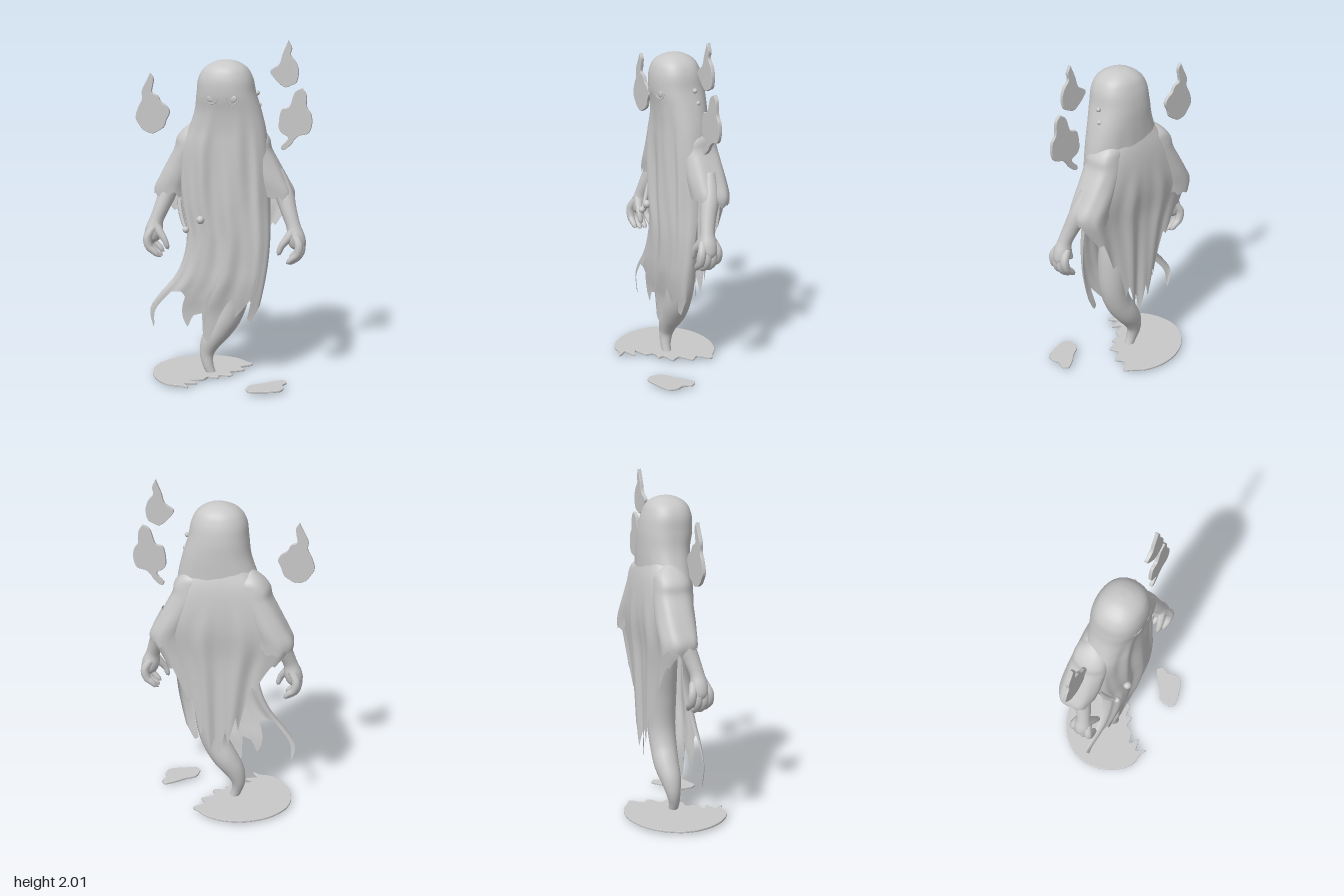
import * as THREE from 'three';
import { mergeGeometries, mergeVertices } from 'three/addons/utils/BufferGeometryUtils.js';

const cloth = new THREE.MeshStandardMaterial({ color: 0xc8c8c8, side: THREE.DoubleSide });
cloth.name = 'pale grey';

// Lookup in rows [key, values...] with ascending keys
function table(rows, Kind = THREE.CubicInterpolant) {
  const n = rows[0].length - 1;
  const f = new Kind(rows.map(r => r[0]), rows.flatMap(r => r.slice(1)), n);
  return k => [...f.evaluate(k)];
}

// Surface from fn(u, v) -> [x, y, z]
function grid(nu, nv, fn) {
  const pos = [], idx = [];
  for (let j = 0; j <= nv; j++)
    for (let i = 0; i <= nu; i++) pos.push(...fn(i / nu, j / nv));
  for (let j = 0; j < nv; j++)
    for (let i = 0; i < nu; i++) {
      const a = j * (nu + 1) + i, b = a + nu + 1;
      idx.push(a, a + 1, b, b, a + 1, b + 1);
    }
  const g = new THREE.BufferGeometry();
  g.setAttribute('position', new THREE.Float32BufferAttribute(pos, 3));
  g.setIndex(idx);
  return g;
}

function smooth(...parts) {
  const g = mergeVertices(mergeGeometries(parts), 1e-4);
  g.computeVertexNormals();
  return g;
}

// Tapered tube through points [x, y, z, radius]
function limb(pts, sides = 14, n = 28) {
  const path = new THREE.CatmullRomCurve3(pts.map(p => new THREE.Vector3(p[0], p[1], p[2])));
  const radius = table(pts.map((p, i) => [i / (pts.length - 1), p[3]]));
  const g = new THREE.TubeGeometry(path, n, 1, sides);
  const p = g.attributes.position, v = new THREE.Vector3();
  for (let i = 0; i < p.count; i++) {
    const t = Math.floor(i / (sides + 1)) / n, c = path.getPointAt(t);
    const k = path.getUtoTmapping(t);
    v.fromBufferAttribute(p, i).sub(c).multiplyScalar(Math.max(0.001, radius(k)[0])).add(c);
    p.setXYZ(i, v.x, v.y, v.z);
  }
  g.deleteAttribute('uv');
  g.deleteAttribute('normal');
  return smooth(g);
}

// Thin plate with softened rim from a wavy outline
function plate(pts, depth) {
  const v = pts.map(p => new THREE.Vector2(p[0], p[1]));
  const shape = new THREE.Shape().moveTo(v[0].x, v[0].y).splineThru([...v.slice(1), v[0]]);
  const b = 0.003;
  return new THREE.ExtrudeGeometry(shape, { depth: depth - 2 * b, bevelThickness: b, bevelSize: b, bevelOffset: -b,
    bevelSegments: 2, curveSegments: 4 * pts.length }).translate(0, 0, b);
}

// Cloak cross-sections: y, right edge, left edge, front, back
const section = table([
  [0.2, -0.40, 0.16, 0.045, 0.01], [0.28, -0.415, 0.18, 0.05, 0.0], [0.4, -0.432, 0.22, 0.06, -0.01],
  [0.5, -0.37, 0.245, 0.08, -0.02], [0.6, -0.285, 0.265, 0.095, -0.04], [0.7, -0.235, 0.28, 0.1, -0.06],
  [0.85, -0.208, 0.29, 0.106, -0.1], [1.05, -0.24, 0.285, 0.11, -0.15], [1.2, -0.25, 0.28, 0.11, -0.16],
  [1.4, -0.235, 0.265, 0.11, -0.165], [1.5, -0.195, 0.25, 0.11, -0.165], [1.6, -0.16, 0.225, 0.118, -0.165],
  [1.7, -0.145, 0.195, 0.134, -0.16], [1.8, -0.127, 0.172, 0.126, -0.138], [1.85, -0.09, 0.138, 0.1, -0.11],
  [1.875, -0.047, 0.097, 0.063, -0.073], [1.886, -0.012, 0.062, 0.028, -0.038], [1.89, 0.025, 0.025, -0.005, -0.005],
]);
const bend = (c, p) => Math.sign(c) * Math.abs(c) ** p;
function cloakPoint(a, y) {
  const [l, r, f, b] = section(y), zc = (f + b) / 2, s = Math.sin(a), c = bend(Math.cos(a), 0.9);
  const fade = THREE.MathUtils.smoothstep(1.68 - y, 0, 0.5) * (s > 0 ? s : -0.3 * s);
  const fold = 1 + fade * (0.09 * Math.sin(9 * a + 1.8 * y) + 0.05 * Math.sin(15 * a - 2 * y) - 0.03);
  return [(l + r) / 2 + (r - l) / 2 * c, y, zc + (f - b) / 2 * bend(s, 0.85) * fold];
}

// Torn hems, from the right edge to the left edge
const frontHem = table([[0, 0.28], [0.025, 0.31], [0.065, 0.42], [0.1, 0.52], [0.2, 0.53], [0.27, 0.5], [0.33, 0.35],
  [0.37, 0.3], [0.42, 0.38], [0.5, 0.4], [0.53, 0.24], [0.58, 0.22], [0.68, 0.27], [0.75, 0.32], [0.86, 0.44],
  [0.91, 0.51], [0.925, 0.37], [0.97, 0.36], [1, 0.46]], THREE.LinearInterpolant);
const backHem = table([[-1, 1.06], [-0.9, 0.97], [-0.85, 0.98], [-0.7, 0.82], [-0.62, 0.84], [-0.48, 0.55], [-0.4, 0.64],
  [-0.27, 0.45], [-0.18, 0.54], [0, 0.36], [0.1, 0.5], [0.22, 0.4], [0.35, 0.58], [0.46, 0.5], [0.56, 0.74],
  [0.68, 0.73], [0.8, 0.92], [0.88, 0.91], [1, 1.07]], THREE.LinearInterpolant);
const backWidth = table([[0.3, 0.19], [0.6, 0.25], [0.9, 0.33], [1.08, 0.395], [1.2, 0.365], [1.3, 0.31], [1.4, 0.262],
  [1.47, 0.22], [1.54, 0.16]]);
const backDepth = table([[0.3, -0.165], [0.7, -0.172], [1, -0.18], [1.2, -0.198], [1.35, -0.192], [1.45, -0.177],
  [1.54, -0.15]]);

// Sleeve: y, outer edge, inner edge, front, back
const sleeveSection = table([
  [1.04, 0.41, 0.22, 0.02, -0.185], [1.12, 0.425, 0.2, 0.025, -0.188], [1.2, 0.385, 0.17, 0.035, -0.188],
  [1.3, 0.33, 0.13, 0.04, -0.18], [1.38, 0.288, 0.1, 0.045, -0.172], [1.43, 0.278, 0.09, 0.04, -0.165],
  [1.48, 0.24, 0.09, 0.02, -0.15], [1.55, 0.15, 0.15, -0.06, -0.06],
]);

export function createModel() {
  const model = new THREE.Group();
  const add = (name, geo, parent = model) => {
    const m = new THREE.Mesh(geo, cloth);
    m.name = name;
    parent.add(m);
    return m;
  };

  // Hood and front drape share one cross-section rule
  const hood = grid(160, 50, (u, v) => cloakPoint(u * 2 * Math.PI, 1.89 - 0.79 * v ** 1.6));
  const front = grid(80, 60, (u, v) => {
    const a = u * Math.PI, h = frontHem((1 + bend(Math.cos(a), 0.9)) / 2)[0];
    return cloakPoint(a, THREE.MathUtils.lerp(1.1, h, v));
  });
  add('cloak', smooth(hood, front));

  // Back drape, lying over the shoulders and sleeves
  add('backDrape', smooth(grid(100, 50, (u, v) => {
    const s = u * 2 - 1, y = THREE.MathUtils.lerp(1.54, backHem(s)[0], v);
    const hang = THREE.MathUtils.smoothstep(1.4 - y, 0, 0.4);
    const ripple = 0.009 * hang * (Math.sin(s * 11 + y * 2) + 0.4 * Math.sin(s * 21));
    return [s * backWidth(y)[0], y, backDepth(y)[0] + 0.035 * s * s + 0.05 * s ** 8 + ripple];
  })));

  for (const s of [-1, 1]) {
    const side = s < 0 ? 'right' : 'left';
    // Sleeve with a ragged hem
    add(side + 'Sleeve', smooth(grid(64, 30, (u, v) => {
      const a = u * 2 * Math.PI;
      const hem = 1.085 + 0.01 * Math.sin(a * 11) + 0.01 * Math.sin(a * 5) + 0.015 * Math.sin(a);
      const y = THREE.MathUtils.lerp(1.55, hem, v ** 1.3);
      const [o, i, f, b] = sleeveSection(y);
      const w = 1 + 0.03 * v * Math.sin(a * 6 + y * 9), out = s < 0 ? o : o * 0.97;
      return [s * ((out + i) / 2 + (out - i) / 2 * bend(Math.cos(a), 0.85) * w), y,
        (f + b) / 2 + (f - b) / 2 * bend(Math.sin(a), 0.85) * w];
    })));

    // Arm and hand
    const arm = new THREE.Group();
    arm.name = side + 'Arm';
    arm.position.x = s < 0 ? 0 : 0.03;
    model.add(arm);
    const mirror = pts => pts.map(p => [s * p[0], ...p.slice(1)]);
    add('forearm', limb(mirror([[0.28, 1.25, -0.07, 0.04], [0.33, 1.12, -0.05, 0.053], [0.365, 1.02, -0.02, 0.046],
      [0.395, 0.94, 0, 0.041], [0.41, 0.88, 0.005, 0.052], [0.425, 0.82, 0.005, 0.042], [0.425, 0.79, 0.005, 0]])), arm);
    for (let k = 0; k < 4; k++) {
      const z = -0.045 + 0.034 * k, d = [0.015, 0, 0, 0.01][k];
      add('finger', limb(mirror([[0.405, 0.9, z * 0.6, 0.025], [0.437, 0.84, z, 0.025], [0.437 - d, 0.785, z * 1.05, 0.023],
        [0.41 - d, 0.75 + d, z * 1.05, 0.019], [0.375, 0.728 + d, z, 0.014], [0.363, 0.72 + d, z, 0]]), 8, 16), arm);
    }
    add('thumb', limb(mirror([[0.4, 0.92, 0.02, 0.028], [0.365, 0.87, 0.035, 0.025], [0.335, 0.83, 0.045, 0.019],
      [0.318, 0.785, 0.045, 0.014], [0.313, 0.773, 0.045, 0]]), 8, 16), arm);

    // Eye rim and eyeball, nearly flush with the cloth
    const x = 0.03 + s * 0.06;
    const rim = add(side + 'EyeRim', new THREE.TorusGeometry(0.034, 0.003, 8, 28));
    rim.position.set(x, 1.678, 0.122);
    rim.rotation.y = s * 0.25;
    rim.scale.y = 0.85;
    const ball = add(side + 'Eye', new THREE.SphereGeometry(0.026, 20, 14));
    ball.position.set(x, 1.68, 0.121);
    ball.scale.set(1, 0.8, 0.25);
  }

  // Inner body tapering into a curled tail
  add('tail', limb([[0.03, 1.15, -0.04, 0.1], [0.05, 0.9, -0.03, 0.1], [0.075, 0.7, -0.02, 0.095], [0.075, 0.5, -0.015, 0.085],
    [0.04, 0.38, -0.015, 0.08], [-0.015, 0.29, -0.02, 0.075], [-0.068, 0.21, -0.015, 0.062], [-0.094, 0.13, -0.01, 0.043],
    [-0.083, 0.06, 0, 0.032], [-0.06, 0.003, 0, 0.026]], 24, 50));

  // Loose drops, with the cord that holds two of them
  for (const [x, y, z, r] of [[-0.1, 0.975, 0.112, 0.024], [-0.19, 0.91, 0.1, 0.019], [0.2, 1.7, -0.04, 0.014],
    [0.208, 1.63, -0.055, 0.014], [0.22, 1.57, -0.03, 0.011]])
    add('drop', new THREE.SphereGeometry(r, 18, 12)).position.set(x, y, z);
  add('cord', limb([[-0.25, 1.07, 0.02, 0.011], [-0.235, 1, 0.045, 0.014], [-0.21, 0.94, 0.075, 0.011], [-0.19, 0.91, 0.1, 0.007]], 6, 12));

  // Floating wisps
  const wisps = [
    [[-0.43, 1.8], [-0.41, 1.77], [-0.415, 1.73], [-0.42, 1.69], [-0.385, 1.67], [-0.365, 1.635], [-0.33, 1.61], [-0.315, 1.575],
      [-0.335, 1.53], [-0.35, 1.49], [-0.385, 1.465], [-0.42, 1.45], [-0.47, 1.465], [-0.5, 1.5], [-0.52, 1.54], [-0.505, 1.6],
      [-0.48, 1.65], [-0.48, 1.7], [-0.45, 1.76]],
    [[0.38, 2], [0.4, 1.96], [0.395, 1.92], [0.425, 1.88], [0.44, 1.83], [0.43, 1.77], [0.4, 1.75], [0.36, 1.74], [0.31, 1.78],
      [0.28, 1.83], [0.33, 1.87], [0.35, 1.93]],
    [[0.46, 1.735], [0.485, 1.7], [0.49, 1.63], [0.515, 1.59], [0.52, 1.53], [0.5, 1.48], [0.45, 1.465], [0.42, 1.44],
      [0.4, 1.41], [0.36, 1.38], [0.345, 1.4], [0.385, 1.45], [0.34, 1.485], [0.33, 1.53], [0.345, 1.61], [0.39, 1.63],
      [0.42, 1.71]],
  ];
  for (const w of wisps) add('wisp', plate(w, 0.02)).position.z = -0.03;

  // Torn puddle and its loose piece on the ground
  const puddles = [
    [[-0.42, 0], [-0.4, -0.1], [-0.35, -0.19], [-0.27, -0.26], [-0.18, -0.27], [-0.14, -0.29], [-0.145, -0.265], [-0.17, -0.23],
      [-0.1, -0.205], [-0.15, -0.17], [-0.08, -0.14], [-0.06, -0.09], [0, -0.09], [0, -0.05], [0.07, -0.03], [0.05, 0.03],
      [0.12, 0.08], [0.09, 0.13], [0.15, 0.19], [0.11, 0.225], [0.04, 0.275], [-0.07, 0.3], [-0.2, 0.28], [-0.32, 0.21], [-0.4, 0.1]],
    [[0.2, -0.25], [0.21, -0.18], [0.27, -0.135], [0.32, -0.09], [0.36, -0.06], [0.385, -0.05], [0.41, -0.08], [0.395, -0.13],
      [0.41, -0.18], [0.39, -0.23], [0.3, -0.265], [0.23, -0.28]],
  ];
  for (const p of puddles) {
    const m = add('puddle', plate(p, 0.013));
    m.rotation.x = -Math.PI / 2;
    m.position.y = 0.008;
  }

  return model;
}
